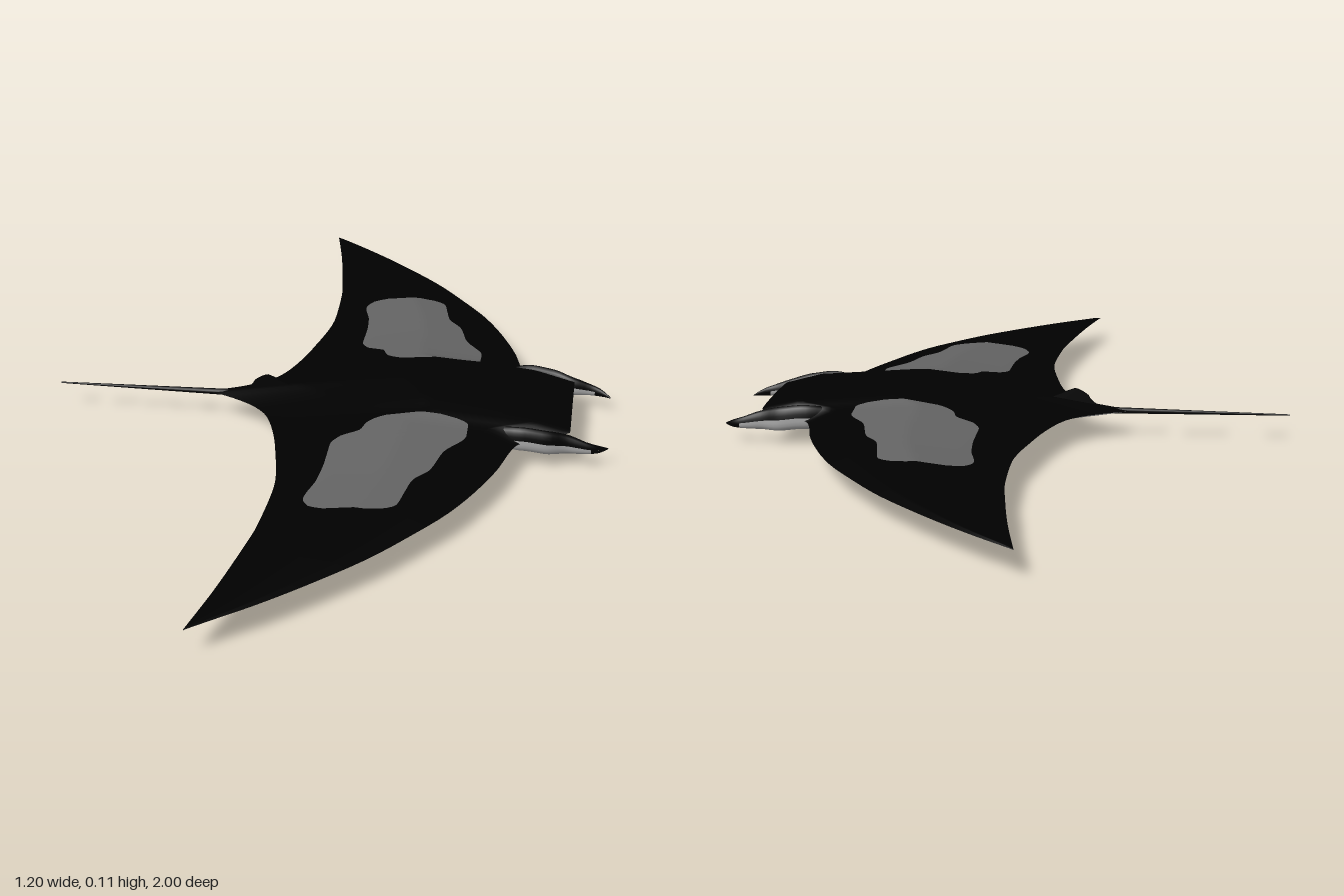
import * as THREE from 'three';

const mat = (name, color, side = THREE.FrontSide) => {
  const m = new THREE.MeshStandardMaterial({ color, side });
  m.name = name;
  return m;
};

// Smooth monotone interpolation through [position, value] keys
function curve(keys) {
  const n = keys.length;
  const d = keys.slice(1).map((k, i) => (k[1] - keys[i][1]) / (k[0] - keys[i][0]));
  const m = keys.map((_, i) => {
    if (i === 0) return d[0];
    if (i === n - 1) return d[n - 2];
    return d[i - 1] * d[i] <= 0 ? 0 : 2 * d[i - 1] * d[i] / (d[i - 1] + d[i]);
  });
  return (s) => {
    if (s <= keys[0][0]) return keys[0][1];
    if (s >= keys[n - 1][0]) return keys[n - 1][1];
    let i = 0;
    while (s > keys[i + 1][0]) i++;
    const h = keys[i + 1][0] - keys[i][0], t = (s - keys[i][0]) / h;
    return keys[i][1] * (1 + 2 * t) * (1 - t) ** 2 + h * m[i] * t * (1 - t) ** 2
      + keys[i + 1][1] * t * t * (3 - 2 * t) + h * m[i + 1] * t * t * (t - 1);
  };
}

// Surface through rows of points; normals face up when rows run +z and points run +x
function loft(name, rows, material, flip = false) {
  const n = rows[0].length, index = [];
  for (let i = 0; i < rows.length - 1; i++) {
    for (let j = 0; j < n - 1; j++) {
      const a = i * n + j, b = a + 1, c = a + n, e = c + 1;
      if (flip) index.push(a, b, c, b, e, c);
      else index.push(a, c, b, b, c, e);
    }
  }
  const g = new THREE.BufferGeometry();
  g.setAttribute('position', new THREE.Float32BufferAttribute(rows.flat(2), 3));
  g.setIndex(index);
  g.computeVertexNormals();
  const mesh = new THREE.Mesh(g, material);
  mesh.name = name;
  return mesh;
}

const range = (a, b, n) => Array.from({ length: n + 1 }, (_, i) => a + (b - a) * i / n);

// Plan outline and thickness as functions of distance from the centre line
const MID = 0.055;
const lead = curve([[0, .52], [.128, .52], [.165, .43], [.185, .41], [.3, .38], [.4, .345], [.5, .3],
  [.61, .232], [.7, .17], [.8, .085], [.9, -.01], [1, -.12]]);
const trail = curve([[0, -.27], [.01, -.25], [.03, -.21], [.065, -.16], [.105, -.127], [.17, -.102],
  [.26, -.08], [.45, -.053], [.6, -.058], [.7, -.07], [.85, -.092], [1, -.12]]);
const thick = curve([[0, .06], [.08, .058], [.13, .05], [.18, .041], [.6, .021], [1, .002]]);
const gape = curve([[0, 1], [.12, .9], [.18, 0], [1, 0]]);

// Wedge-like chord section, blunt at the mouth and sharp along the wings
function height(u, s, end) {
  const { lerp } = THREE.MathUtils;
  let f = lerp(.66, end * gape(s), (u - .88) / .12);
  if (u < .54) f = u < .25 ? u * 2.1 : lerp(.525, 1, (u - .25) / .29);
  else if (u < .88) f = lerp(1, .66, (u - .54) / .34);
  return thick(s) * f;
}
function topPoint(x, z, lift = 0) {
  const s = Math.abs(z), t = trail(s);
  const u = THREE.MathUtils.clamp((x - t) / Math.max(lead(s) - t, 1e-5), 0, 1);
  return [x, MID + height(u, s, .3) + lift, z];
}
function bottomPoint(u, z) {
  const s = Math.abs(z), t = trail(s), l = lead(s) - .05 * gape(s);
  return [t + (l - t) * u, MID - height(u, s, .45) * .91, z];
}

export function createModel() {
  const model = new THREE.Group();
  model.name = 'mantaRay';
  const black = mat('black skin', 0x000000);
  const grey = mat('patch and tip grey', 0x646464);
  const belly = mat('pale belly', 0xb3b3b3, THREE.DoubleSide);

  const half = [...range(0, .2, 20), ...range(.2, .8, 20).slice(1), ...range(.8, 1, 10).slice(1)];
  const span = [...half.slice(1).reverse().map((z) => -z), ...half];
  const us = range(0, 1, 50);

  // Back of the body and wings
  model.add(loft('back', span.map((z) => us.map((u) => {
    const s = Math.abs(z), t = trail(s);
    return topPoint(t + (lead(s) - t) * u, z);
  })), black));

  // Pale belly, darker wing tips and a thin black leading edge underneath
  const under = (name, zs, m, chord = us) =>
    model.add(loft(name, zs.map((z) => chord.map((u) => bottomPoint(u, z))), m, true));
  const rear = us.slice(0, -1), edge = us.slice(-2);
  under('belly', span.filter((z) => Math.abs(z) < .8001), belly, rear);
  under('lowerLip', span.filter((z) => Math.abs(z) < .1801), belly, edge);
  for (const side of [1, -1]) {
    const word = side > 0 ? 'left' : 'right';
    under(word + 'WingTip', span.filter((z) => z * side > .7999), grey, rear);
    under(word + 'LeadingEdge', span.filter((z) => z * side > .1799), black, edge);
  }

  // Mouth lining, from upper lip into the throat and out to the lower lip
  model.add(loft('mouthLining', span.filter((z) => Math.abs(z) < .181).map((z) => {
    const s = Math.abs(z), a = topPoint(lead(s), z), b = bottomPoint(1, z), x = b[0] - .06 * gape(s);
    return [a, [(a[0] + x) / 2, a[1] + .004 * gape(s), z], [x, MID - .004 * gape(s), z], b];
  }), belly));
  const throat = new THREE.Mesh(new THREE.SphereGeometry(1, 20, 12), black);
  throat.name = 'throat';
  throat.scale.set(.02, .006, .05);
  throat.position.set(.42, .048, 0);
  model.add(throat);

  // Grey shoulder patches lying on the back
  const patchRear = curve([[.145, .2], [.15, .14], [.18, .1], [.21, .09], [.235, .05], [.27, .035],
    [.34, .035], [.42, .03], [.5, .015], [.535, .03], [.548, .06]]);
  const patchFront = curve([[.145, .25], [.15, .28], [.165, .31], [.21, .31], [.29, .27], [.37, .25],
    [.42, .22], [.47, .21], [.52, .2], [.54, .175], [.548, .14]]);
  for (const side of [1, -1]) {
    const rows = range(.145, .548, 60).map((s) =>
      range(patchRear(s), patchFront(s), 20).map((x) => topPoint(x, s * side, .0015)));
    if (side < 0) rows.reverse();
    model.add(loft(side > 0 ? 'leftShoulderPatch' : 'rightShoulderPatch', rows, grey));
  }

  // Curling head fins, black above and pale below: [x, y, z, half height, half width]
  const finKeys = [[.37, .062, .15, .02, .012], [.42, .062, .163, .026, .012], [.47, .056, .16, .026, .013],
    [.52, .049, .148, .02, .011], [.555, .043, .149, .013, .007], [.58, .039, .143, .008, .006],
    [.6, .035, .128, .001, .002]];
  const channel = [1, 2, 3, 4].map((c) => curve(finKeys.map((k) => [k[0], k[c]])));
  for (const side of [1, -1]) {
    const word = side > 0 ? 'left' : 'right';
    const fin = (name, x0, x1, a0, a1, m) => model.add(loft(word + name, range(x0, x1, 20).map((x) => {
      const [y, z, h, w] = channel.map((f) => f(x));
      return range(a0, a1, 10).map((a) => [x, y + h * Math.sin(a), side * (z + w * Math.cos(a))]);
    }), m, side < 0));
    fin('HeadFinTop', .37, .6, 0, Math.PI, black);
    fin('HeadFinUnderside', .37, .565, Math.PI, Math.PI * 2, belly);
    fin('HeadFinTip', .565, .6, Math.PI, Math.PI * 2, black);
  }

  // Whip tail
  const tail = new THREE.Mesh(new THREE.CylinderGeometry(.0015, .007, .38, 12), black);
  tail.name = 'tail';
  tail.rotation.z = Math.PI / 2;
  tail.position.set(-.41, .055, 0);
  model.add(tail);

  // Small dorsal fin ahead of the tail
  const finShape = new THREE.Shape();
  finShape.moveTo(-.2, .06);
  finShape.quadraticCurveTo(-.175, .07, -.168, .086);
  finShape.quadraticCurveTo(-.15, .1, -.138, .101);
  finShape.quadraticCurveTo(-.122, .095, -.09, .082);
  finShape.lineTo(-.09, .06);
  const dorsal = new THREE.Mesh(new THREE.ExtrudeGeometry(finShape, { depth: .008, bevelEnabled: false }), black);
  dorsal.name = 'dorsalFin';
  dorsal.position.z = -.004;
  model.add(dorsal);

  return model;
}
